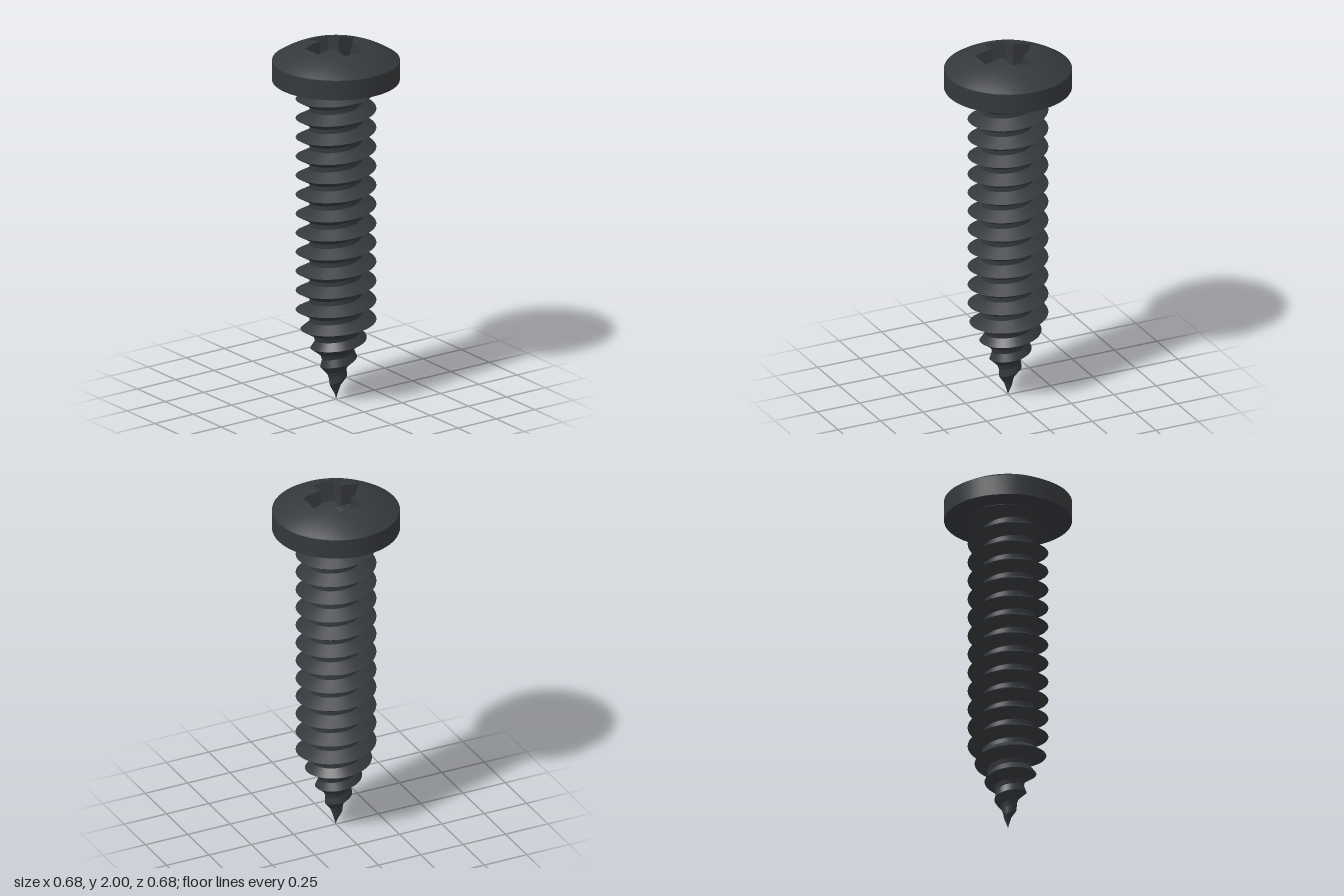
import * as THREE from 'three';

const RIM = 0.338, RIM_TOP = 1.9, HEAD_BASE = 1.79;
const DOME_R = 0.597, DOME_APEX = 2.0035;
const FLOOR_Y = 1.88, PITCH = 0.107, TIP = 0;

// Skin successive rows of points; rows run counter-clockwise seen from above.
function loft(rows, closed = true) {
  const n = rows[0].length, index = [];
  for (let k = 0; k < rows.length - 1; k++) {
    for (let i = 0; i < (closed ? n : n - 1); i++) {
      const j = (i + 1) % n, a = k * n, b = a + n;
      index.push(a + i, a + j, b + i, a + j, b + j, b + i);
    }
  }
  const geometry = new THREE.BufferGeometry().setFromPoints(rows.flat());
  geometry.setIndex(index);
  geometry.computeVertexNormals();
  return geometry;
}

// Outline of a plus sign, sampled evenly, starting in the +x arm.
function crossRing(half, length, yAt) {
  const corners = [];
  for (let q = 0; q < 4; q++) {
    for (const [u, v] of [[half, -half], [length, -half], [length, half]]) {
      const c = [1, 0, -1, 0][q], s = [0, 1, 0, -1][q];
      corners.push(new THREE.Vector2(u * c - v * s, u * s + v * c));
    }
  }
  const ring = [];
  corners.forEach((p, i) => {
    const next = corners[(i + 1) % corners.length];
    const steps = i % 3 === 1 ? 8 : 5;
    for (let k = 0; k < steps; k++) {
      const m = p.clone().lerp(next, k / steps);
      ring.push(new THREE.Vector3(m.x, yAt(m.length()), -m.y));
    }
  });
  return ring;
}

const domeY = r => DOME_APEX - DOME_R + Math.sqrt(DOME_R * DOME_R - r * r);

// Same directions as a given ring, at a fixed radius and height.
const circleLike = (ring, r, y) => ring.map(p => {
  const d = Math.hypot(p.x, p.z);
  return new THREE.Vector3(p.x / d * r, y, p.z / d * r);
});

function threadGeometries() {
  const crestR = y => THREE.MathUtils.clamp(0.49 * y - 0.006, 0, 0.213);
  const rootR = y => Math.min(crestR(y), THREE.MathUtils.clamp(0.345 * (y - 0.01), 0, 0.14));
  // Height offset from the crest, and the radius rule there
  const profile = [[-0.041, rootR], [0, crestR], [0.041, rootR], [PITCH - 0.041, rootR]];
  const perTurn = 64;
  const rows = profile.map(([dy, radius]) => {
    const row = [];
    for (let i = -17 * perTurn; i <= 2 * perTurn; i++) {
      const a = i / perTurn * Math.PI * 2;
      const y = THREE.MathUtils.clamp(1.665 + PITCH * i / perTurn + dy, TIP, HEAD_BASE + 0.01);
      const r = radius(y);
      row.push(new THREE.Vector3(-Math.cos(a) * r, y, Math.sin(a) * r));
    }
    return row;
  });
  // One strip per flank keeps the crest and root edges sharp
  return [0, 1, 2].map(k => loft([rows[k], rows[k + 1]], false));
}

export function createModel() {
  const root = new THREE.Group();
  root.name = 'screw';
  const steel = new THREE.MeshStandardMaterial({ color: 0x35383c });
  const facetedSteel = new THREE.MeshStandardMaterial({ color: 0x35383c, flatShading: true });

  const group = name => {
    const g = new THREE.Group();
    g.name = name;
    root.add(g);
    return g;
  };
  const add = (parent, name, geometry, material = steel) => {
    const mesh = new THREE.Mesh(geometry, material);
    mesh.name = name;
    parent.add(mesh);
  };

  // Head: underside, rim and dome around the recess opening
  const opening = crossRing(0.062, 0.163, domeY);
  const circle = (r, y) => circleLike(opening, r, y);
  const head = group('head');
  add(head, 'headUnderside', loft([circle(0, HEAD_BASE), circle(RIM, HEAD_BASE)]));
  add(head, 'headRim', loft([circle(RIM, HEAD_BASE), circle(RIM, RIM_TOP)]));
  const rim = circle(RIM, RIM_TOP), domeRows = [];
  for (let k = 0; k <= 10; k++) {
    domeRows.push(rim.map((p, i) => {
      const q = p.clone().lerp(opening[i], k / 10);
      q.y = domeY(Math.hypot(q.x, q.z));
      return q;
    }));
  }
  add(head, 'headDome', loft(domeRows));

  // Cross recess: sloped walls, flat floor and a conical centre
  const recess = group('driveRecess');
  const floor = crossRing(0.056, 0.13, () => FLOOR_Y);
  const pit = circleLike(floor, 0.06, FLOOR_Y);
  add(recess, 'recessWalls', loft([opening, floor]), facetedSteel);
  add(recess, 'recessFloor', loft([floor, pit]), facetedSteel);
  add(recess, 'recessCone', loft([pit, circleLike(floor, 0, FLOOR_Y - 0.025)]));

  // Shank: flared collar under the head and the helical thread down to the tip
  const shank = group('shank');
  add(shank, 'collar', loft([circle(0.135, 1.753), circle(0.213, 1.787), circle(0.213, HEAD_BASE)]));
  const names = ['threadLowerFlank', 'threadUpperFlank', 'threadRoot'];
  threadGeometries().forEach((geometry, i) => add(shank, names[i], geometry));

  return root;
}
